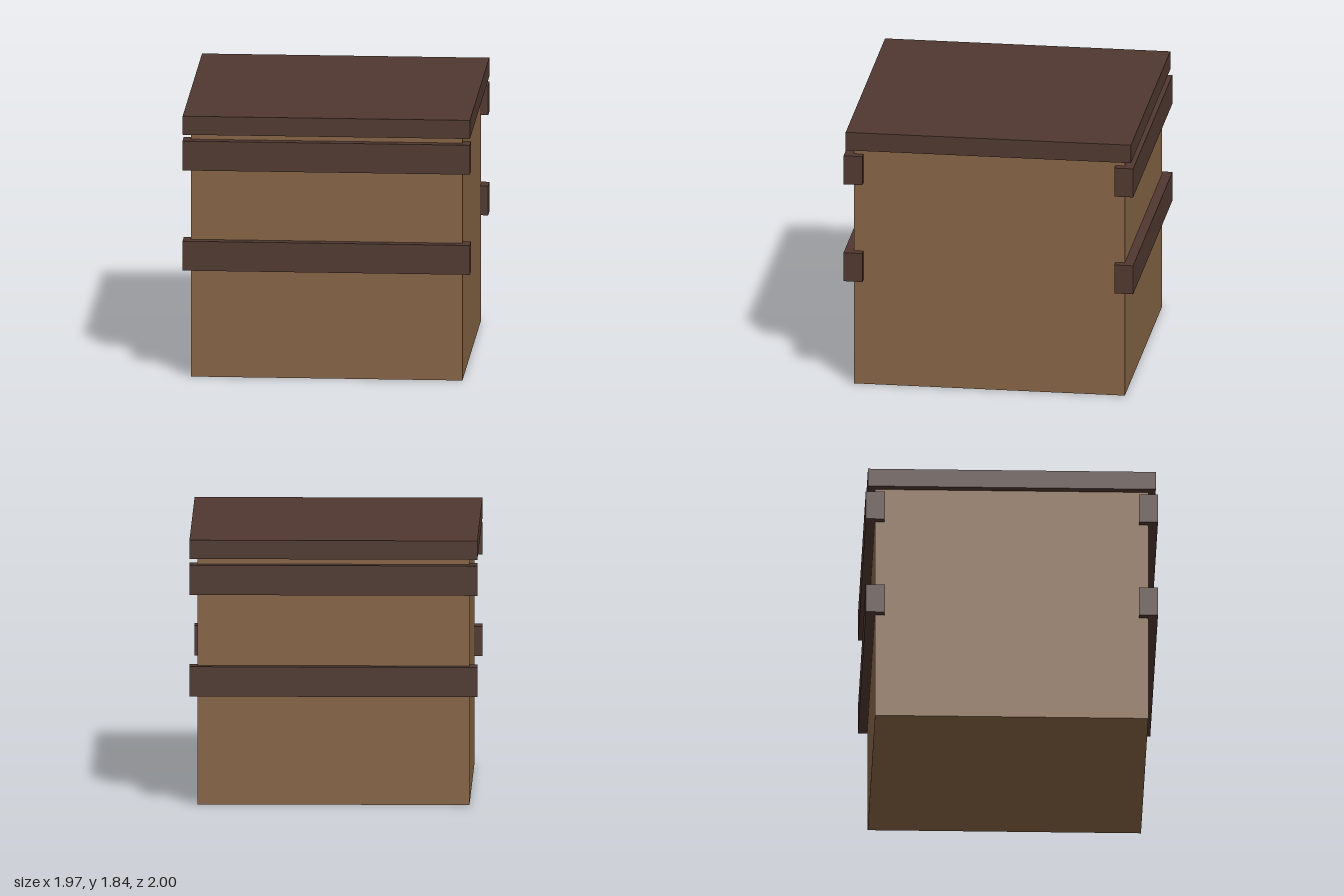
import * as THREE from 'three';

export function createModel() {
  const model = new THREE.Group();
  model.name = 'woodenCrate';

  const wood = new THREE.MeshStandardMaterial({ color: 0x866445 });
  wood.name = 'lightWood';
  const darkWood = new THREE.MeshStandardMaterial({ color: 0x4f3830 });
  darkWood.name = 'darkWood';

  // Box resting on yBottom, centred on z
  function addBox(name, material, w, h, d, yBottom, z = 0) {
    const mesh = new THREE.Mesh(new THREE.BoxGeometry(w, h, d), material);
    mesh.name = name;
    mesh.position.set(0, yBottom + h / 2, z);
    model.add(mesh);
  }

  // Crate body and overhanging lid
  addBox('body', wood, 1.86, 1.71, 1.87, 0);
  addBox('lid', darkWood, 1.97, 0.13, 1.97, 1.705);

  // Two slats across the front and two across the back
  for (const [side, z] of [['front', 0.935], ['back', -0.935]]) {
    addBox(side + 'LowerSlat', darkWood, 1.97, 0.206, 0.13, 0.756, z);
    addBox(side + 'UpperSlat', darkWood, 1.97, 0.206, 0.13, 1.458, z);
  }

  return model;
}
